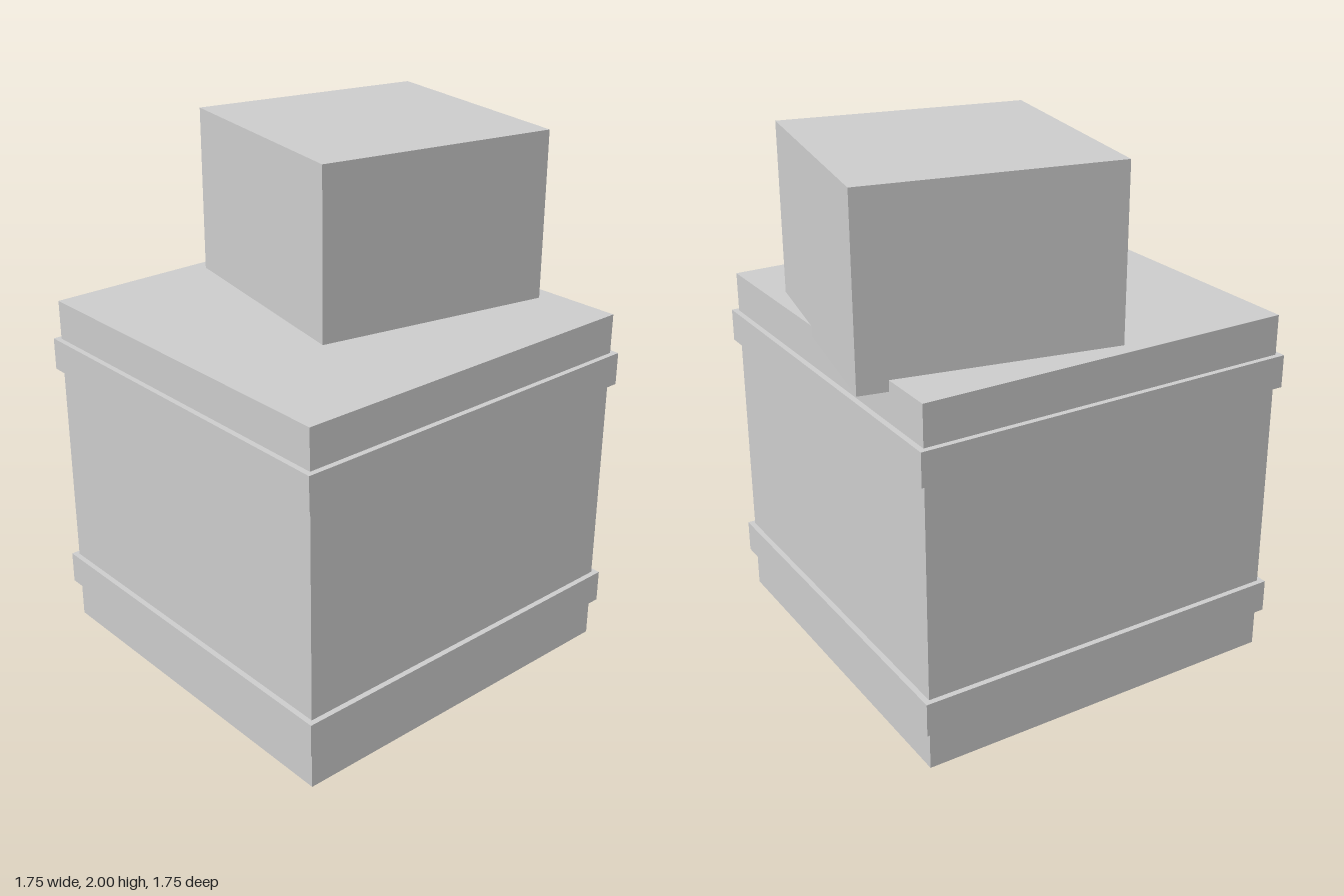
import * as THREE from 'three';

const material = new THREE.MeshStandardMaterial({ color: 0xcccccc, flatShading: true });

// Box given by its width, depth, and bottom and top heights
function box(name, width, depth, bottom, top) {
  const mesh = new THREE.Mesh(new THREE.BoxGeometry(width, top - bottom, depth), material);
  mesh.name = name;
  mesh.position.y = (bottom + top) / 2;
  return mesh;
}

export function createModel() {
  const model = new THREE.Group();
  model.name = 'stackedCrates';

  // Large crate, turned slightly, with two raised bands around it
  const largeCrate = new THREE.Group();
  largeCrate.name = 'largeCrate';
  largeCrate.rotation.y = 0.196;
  largeCrate.add(
    box('crateBody', 1.445, 1.445, 0, 1.363),
    box('lowerBand', 1.487, 1.487, 0.152, 0.278),
    box('upperBand', 1.487, 1.487, 1.088, 1.212),
  );
  model.add(largeCrate);

  // Small crate sunk a little into the top and overhanging the right and back edges
  const smallCrate = box('smallCrate', 0.932, 0.932, 1.323, 2);
  smallCrate.position.x = 0.254;
  smallCrate.position.z = -0.17;
  smallCrate.rotation.y = 0.004;
  model.add(smallCrate);

  return model;
}
